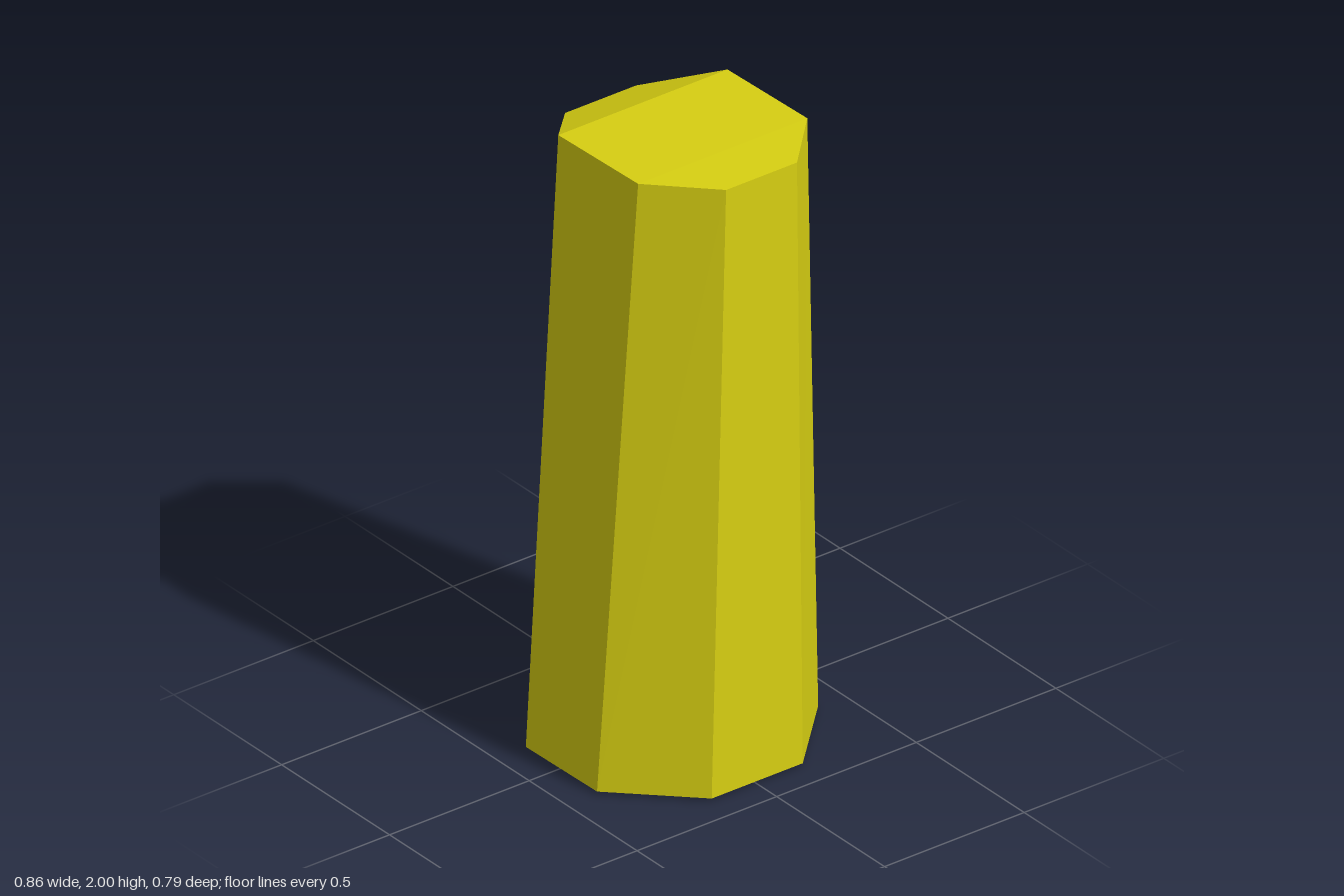
import * as THREE from 'three';

// Eight corners per ring as [x, y, z], counter-clockwise from above.
// Four half-ring points are mirrored across z.
function ring(half) {
  const back = half.map(([x, y, z]) => new THREE.Vector3(x, y, -z));
  const front = half.map(([x, y, z]) => new THREE.Vector3(x, y, z)).reverse();
  return [...back, ...front];
}

const bottom = ring([[0.41, 0.01, 0.163], [0.18, 0.01, 0.396], [-0.15, 0.005, 0.396], [-0.432, 0, 0.163]]);
const top = ring([[0.43, 2, 0.127], [0.25, 2, 0.303], [-0.12, 1.99, 0.303], [-0.316, 1.91, 0.127]]);

// Flat shaded mesh from a list of four-cornered faces
function quadMesh(name, quads, material) {
  const points = quads.flatMap(([a, b, c, d]) => [a, b, c, a, c, d]);
  const geometry = new THREE.BufferGeometry().setFromPoints(points);
  geometry.computeVertexNormals();
  const mesh = new THREE.Mesh(geometry, material);
  mesh.name = name;
  return mesh;
}

export function createModel() {
  const group = new THREE.Group();
  group.name = 'hollowOctagonalColumn';
  const material = new THREE.MeshStandardMaterial({
    color: 0xd8d012, flatShading: true, side: THREE.DoubleSide,
  });

  // Tapered side walls; the -x wall is split to leave an open window
  const at = (i, t) => bottom[i % 8].clone().lerp(top[i % 8], t);
  const walls = [];
  for (let i = 0; i < 8; i++) {
    const spans = i === 3 ? [[0, 0.47], [0.75, 1]] : [[0, 1]];
    for (const [t0, t1] of spans) {
      walls.push([at(i, t0), at(i + 1, t0), at(i + 1, t1), at(i, t1)]);
    }
  }
  group.add(quadMesh('walls', walls, material));

  // Caps made of strips across z, following the dip towards -x
  const cap = (r) => [0, 1, 2].map((i) => [r[i], r[i + 1], r[6 - i], r[7 - i]]);
  group.add(quadMesh('topCap', cap(top), material));
  group.add(quadMesh('bottomCap', cap(bottom).map((q) => q.reverse()), material));

  return group;
}
